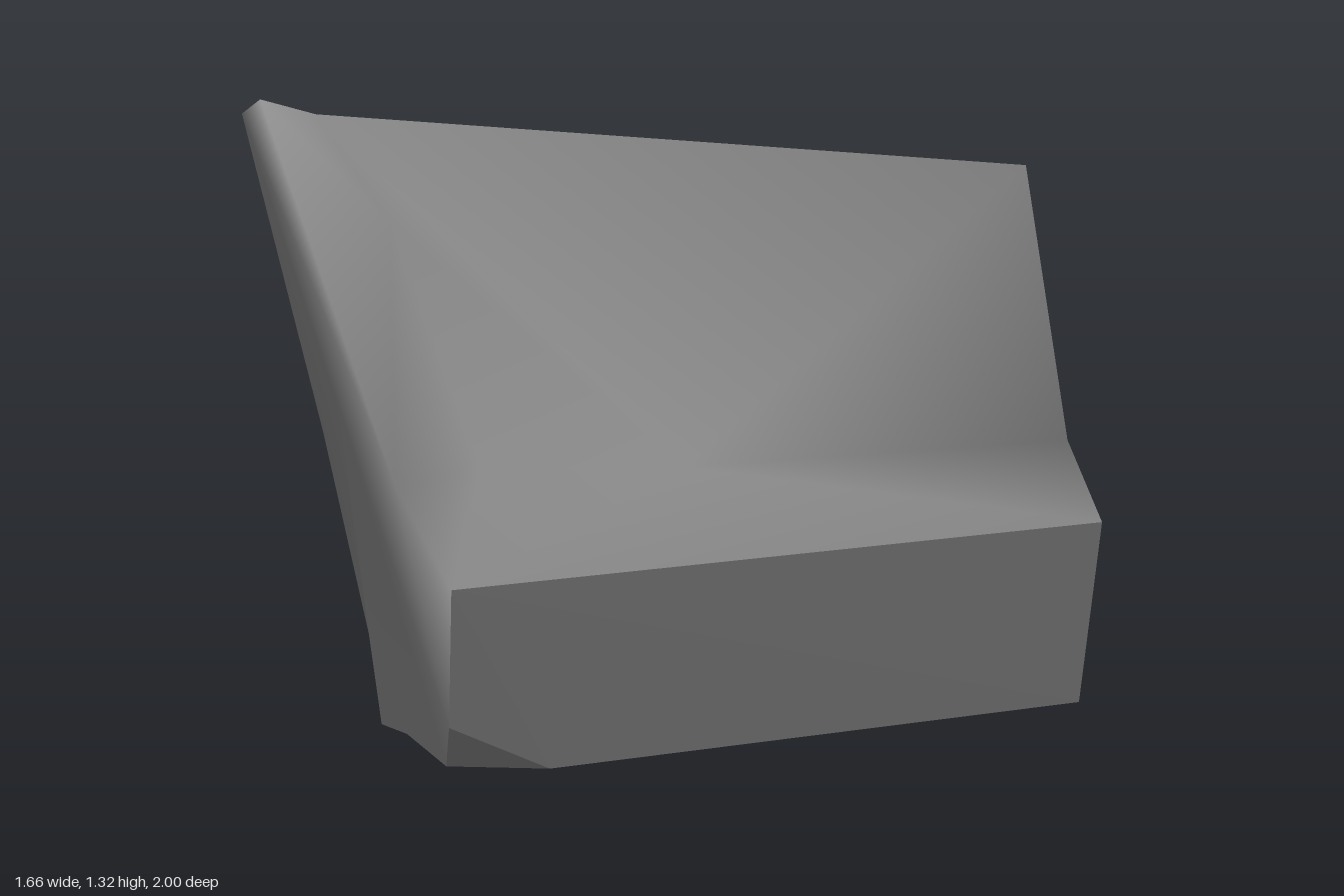
import * as THREE from 'three';

// Corner points of the boulder
const P = {
  backL: [-0.64, 0.44, -0.77], backR: [0.56, 0.32, -1.0],
  topR: [0.7, 1.11, -0.02], topL: [-0.69, 1.28, 0.29],
  peak: [-0.8, 1.32, 0.34], peakSide: [-0.835, 1.29, 0.33],
  lipL: [-0.55, 0.63, 0.75], lipR: [0.77, 0.63, 0.31],
  plateTL: [-0.45, 0.475, 1.0], plateTR: [0.83, 0.51, 0.53],
  plateBR: [0.79, 0.125, 0.38], plateBL: [-0.25, 0.07, 0.74], plateL: [-0.45, 0.175, 0.86],
  footFront: [-0.45, 0.068, 0.7], footMid: [-0.51, 0.035, 0.2], foot: [-0.55, 0, -0.08],
  heelL: [-0.56, 0.09, -0.53], heelR: [0.59, 0.035, -0.84],
  ridgeTop: [-0.55, 1.09, 0.43], ridge: [0.02, 0.63, 0.56], valley: [-0.38, 0.63, 0.56],
  flankR: [0.637, 0.36, -0.6], flankL: [-0.65, 0.72, 0.36],
};
const core = new THREE.Vector3(0, 0.45, 0);

// Builds a surface from named polygons, each turned to face away from the core
function surface(name, material, smooth, polygons) {
  const names = Object.keys(P);
  const index = [];
  const v = (n) => new THREE.Vector3(...P[n]);
  for (const poly of polygons) {
    const c = poly.split(' ');
    for (let i = 1; i < c.length - 1; i++) {
      const tri = [c[0], c[i], c[i + 1]];
      const [a, b, d] = tri.map(v);
      const normal = b.clone().sub(a).cross(d.clone().sub(a));
      const middle = a.clone().add(b).add(d).divideScalar(3).sub(core);
      if (normal.dot(middle) < 0) tri.reverse();
      index.push(...tri.map((n) => names.indexOf(n)));
    }
  }
  let geometry = new THREE.BufferGeometry();
  geometry.setAttribute('position', new THREE.Float32BufferAttribute(Object.values(P).flat(), 3));
  geometry.setIndex(index);
  if (!smooth) geometry = geometry.toNonIndexed();
  geometry.computeVertexNormals();
  const mesh = new THREE.Mesh(geometry, material);
  mesh.name = name;
  return mesh;
}

export function createModel() {
  const group = new THREE.Group();
  group.name = 'boulder';
  const stone = new THREE.MeshStandardMaterial({ color: 0x808080 });
  stone.name = 'grey stone';

  // Flat cut faces
  group.add(surface('topSlope', stone, false, ['backL backR topR topL peak peakSide']));
  group.add(surface('frontFace', stone, false, ['plateTL plateL plateBL plateBR plateTR']));
  group.add(surface('underside', stone, false, [
    'heelR plateBR plateBL footFront footMid foot', 'heelR foot heelL', 'plateL plateBL footFront',
  ]));

  // Smooth worn flanks all round
  group.add(surface('flanks', stone, true, [
    // front ledge
    'plateTL valley lipL', 'plateTL ridge valley', 'plateTL plateTR ridge', 'plateTR lipR ridge',
    // front scoop
    'peak lipL ridgeTop', 'lipL valley ridgeTop', 'valley ridge ridgeTop',
    'peak ridgeTop topL', 'topL ridgeTop ridge', 'topL ridge topR', 'ridge lipR topR',
    // +x flank
    'topR lipR flankR', 'lipR plateTR plateBR', 'lipR plateBR flankR',
    'plateBR heelR flankR', 'flankR heelR backR', 'flankR backR topR',
    // back
    'backR heelR heelL', 'backR heelL backL',
    // -x flank
    'backL heelL flankL', 'backL flankL peakSide', 'peakSide flankL lipL', 'peakSide lipL peak',
    'lipL plateTL plateL', 'flankL lipL plateL', 'flankL plateL footFront',
    'flankL footFront footMid', 'flankL footMid foot', 'flankL foot heelL',
  ]));
  return group;
}
